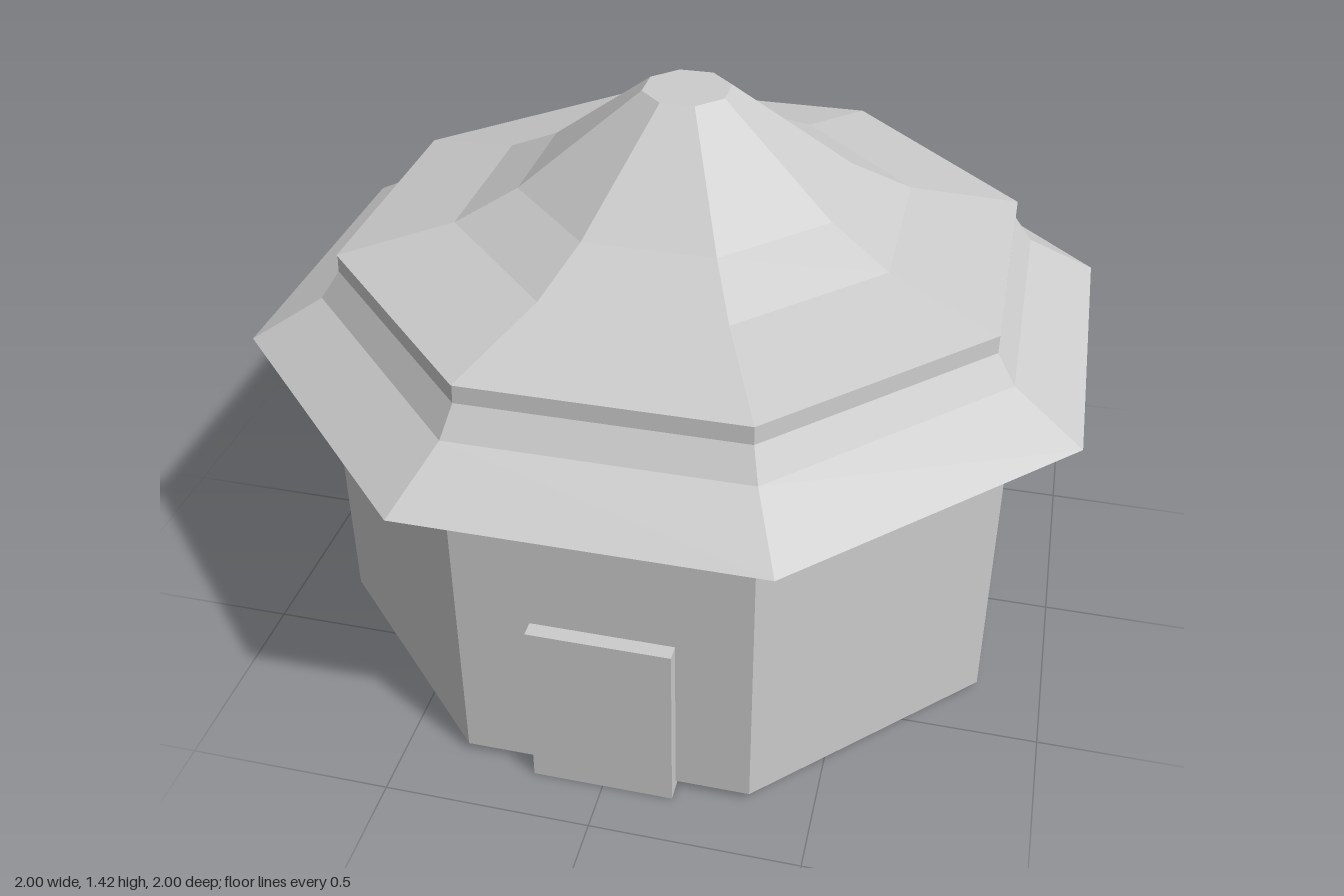
import * as THREE from 'three';

const SIDES = 8;
const TURN = Math.PI / SIDES; // puts a flat side to the front
const corner = (apothem) => apothem / Math.cos(Math.PI / SIDES);

function material(side = THREE.FrontSide) {
  return new THREE.MeshStandardMaterial({ color: 0xcccccc, flatShading: true, side });
}

function addMesh(group, name, geometry, side) {
  const mesh = new THREE.Mesh(geometry, material(side));
  mesh.name = name;
  group.add(mesh);
  return mesh;
}

// Eight-sided shell from [distance to flat side, height] pairs
function octagonShell(profile) {
  const points = profile.map(([a, y]) => new THREE.Vector2(corner(a), y));
  return new THREE.LatheGeometry(points, SIDES, TURN);
}

export function createModel() {
  const hut = new THREE.Group();
  hut.name = 'octagonalHut';

  // Walls with a closed floor, reaching up into the eaves
  const r = corner(0.84), bottom = 0.02, top = 0.925;
  addMesh(hut, 'walls', new THREE.CylinderGeometry(r, r, top - bottom, SIDES, 1, false, TURN))
    .position.y = (top + bottom) / 2;

  // Flared eaves, open underneath, and the short band above them
  addMesh(hut, 'eaves', octagonShell([
    [1.0, 0.83], [0.835, 0.93], [0.79, 1.0], [0.788, 1.045],
  ]), THREE.DoubleSide);

  // Concave upper roof with a flat cap
  addMesh(hut, 'upperRoof', octagonShell([
    [0.79, 1.045], [0.525, 1.11], [0.38, 1.19], [0.1, 1.42], [0, 1.42],
  ]), THREE.DoubleSide);

  // Door slab on the front wall
  addMesh(hut, 'door', new THREE.BoxGeometry(0.34, 0.45, 0.075)).position.set(0, 0.225, 0.84);

  // Window panel almost flush with the left wall
  addMesh(hut, 'window', new THREE.BoxGeometry(0.02, 0.18, 0.22)).position.set(0.832, 0.36, 0);

  return hut;
}
